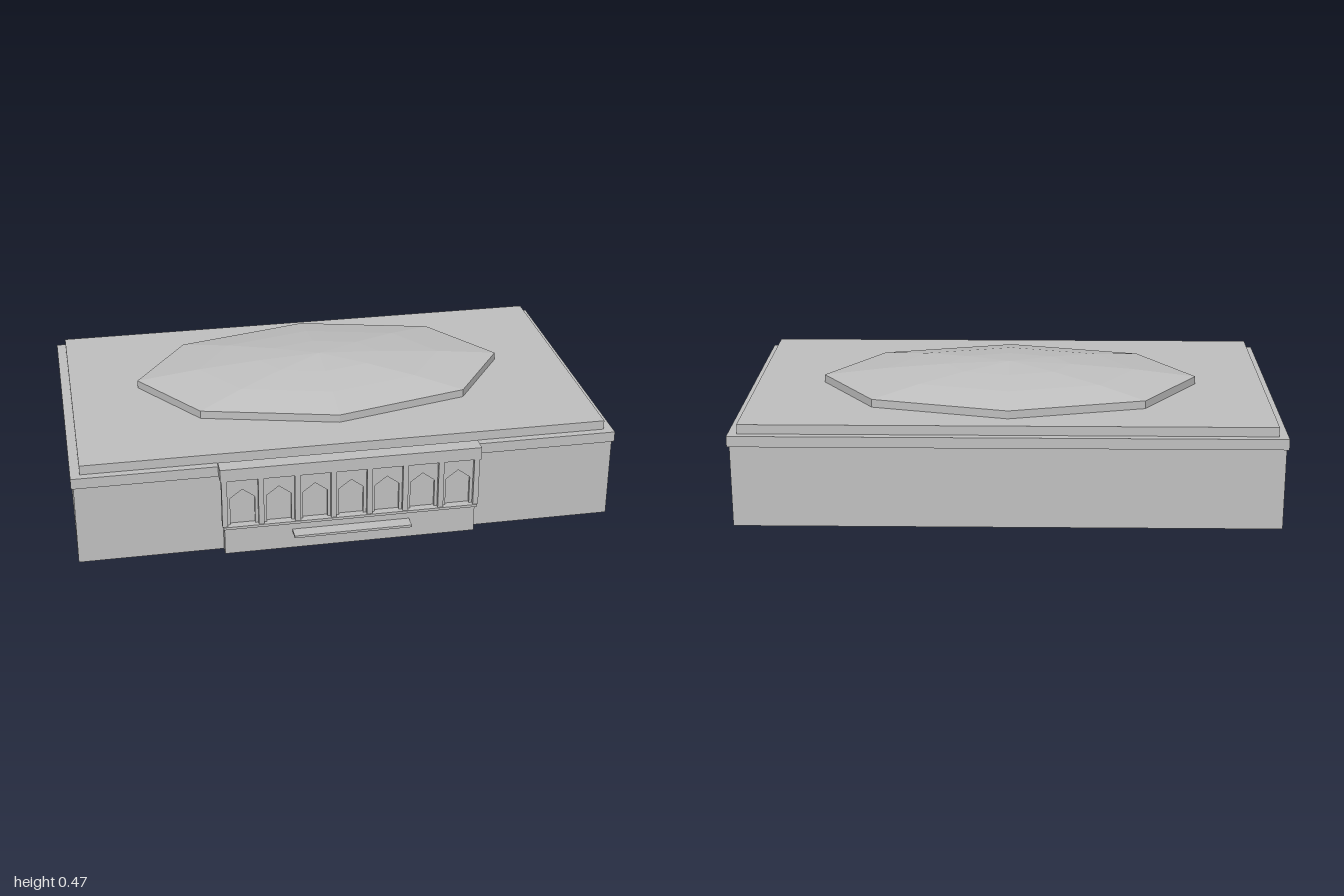
import * as THREE from 'three';

const stone = new THREE.MeshStandardMaterial({ color: 0xc0c0c0, side: THREE.DoubleSide, flatShading: true });
stone.name = 'grey stone';

export function createModel() {
  const model = new THREE.Group();
  model.name = 'domedHall';

  const add = (name, geometry, parent = model) => {
    const mesh = new THREE.Mesh(geometry, stone);
    mesh.name = name;
    parent.add(mesh);
    return mesh;
  };
  // Box given by its extents on each axis
  const box = (name, [x0, x1], [y0, y1], [z0, z1], parent) => {
    const g = new THREE.BoxGeometry(x1 - x0, y1 - y0, z1 - z0);
    g.translate((x0 + x1) / 2, (y0 + y1) / 2, (z0 + z1) / 2);
    return add(name, g, parent);
  };

  // Hollow hall walls, open at the bottom and closed above by the cornice
  const walls = box('walls', [-0.992, 0.992], [0, 0.305], [-0.608, 0.53]);
  const index = Array.from(walls.geometry.index.array);
  index.splice(12, 12);
  walls.geometry.setIndex(index);
  walls.geometry.clearGroups();

  box('cornice', [-1, 1], [0.305, 0.345], [-0.615, 0.536]);
  box('roofSlab', [-0.966, 0.966], [0.345, 0.38], [-0.587, 0.507]);

  // Shallow eight-sided dome on a low drum, stretched along x
  const profile = [[0.71, 0.38], [0.71, 0.41], [0.473, 0.438], [0.237, 0.457], [0, 0.469]];
  const dome = add('dome', new THREE.LatheGeometry(profile.map(p => new THREE.Vector2(...p)), 8));
  dome.scale.z = 0.425 / 0.71;
  dome.position.z = -0.083;

  // Projecting portico
  const portico = new THREE.Group();
  portico.name = 'portico';
  model.add(portico);
  box('porticoBase', [-0.465, 0.465], [0, 0.11], [0.53, 0.567], portico);
  box('nicheBack', [-0.465, 0.465], [0.11, 0.31], [0.53, 0.555], portico);
  box('sill', [-0.47, 0.47], [0.11, 0.12], [0.53, 0.586], portico);
  box('entablature', [-0.478, 0.478], [0.308, 0.356], [0.527, 0.586], portico);
  box('doorCanopy', [-0.217, 0.217], [0.068, 0.077], [0.56, 0.617], portico);

  // Wall with seven pointed arch openings
  const pitch = 0.1325;
  const shape = new THREE.Shape();
  shape.moveTo(-0.465, 0.11).lineTo(0.465, 0.11).lineTo(0.465, 0.31).lineTo(-0.465, 0.31).closePath();
  for (let i = -3; i <= 3; i++) {
    const x = i * pitch;
    const arch = new THREE.Path();
    arch.moveTo(x - 0.045, 0.118).lineTo(x - 0.045, 0.228).lineTo(x, 0.262)
      .lineTo(x + 0.045, 0.228).lineTo(x + 0.045, 0.118).closePath();
    shape.holes.push(arch);
  }
  const arcade = new THREE.ExtrudeGeometry(shape, { depth: 0.012, bevelEnabled: false });
  arcade.translate(0, 0, 0.555);
  add('archedWall', arcade, portico);

  // Square pillars between the arches
  for (let i = 0; i < 8; i++) {
    const x = (i - 3.5) * pitch;
    box('pillar', [x - 0.01, x + 0.01], [0.12, 0.31], [0.56, 0.582], portico);
  }
  return model;
}
